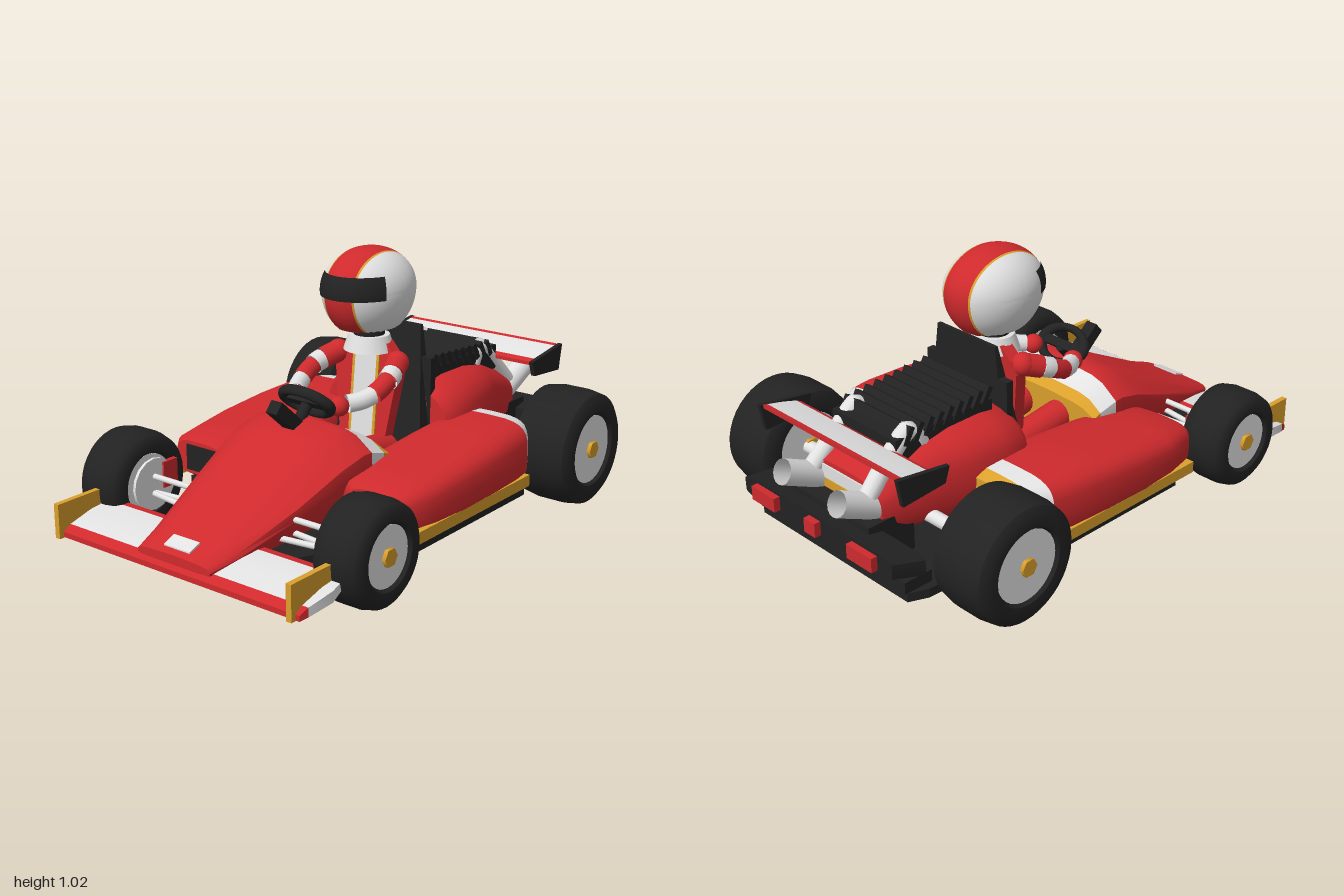
import * as THREE from 'three';
import { toCreasedNormals } from 'three/addons/utils/BufferGeometryUtils.js';

const mat = (name, color, side = THREE.FrontSide) => {
  const m = new THREE.MeshStandardMaterial({ color, side });
  m.name = name;
  return m;
};

export function createModel() {
  const root = new THREE.Group();
  root.name = 'racingKart';
  const red = mat('red', 0xcf2a2d), white = mat('white', 0xe2e2e2, THREE.DoubleSide);
  const gold = mat('gold', 0xdaa02c), black = mat('black', 0x222222);

  const add = (name, geo, material, x = 0, y = 0, z = 0, rx = 0) => {
    const m = new THREE.Mesh(geo, material);
    m.name = name;
    m.position.set(x, y, z);
    m.rotation.x = rx;
    root.add(m);
    return m;
  };
  const box = (name, material, w, h, d, x, y, z, rx = 0) =>
    add(name, new THREE.BoxGeometry(w, h, d), material, x, y, z, rx);
  const v = (p) => new THREE.Vector3(...p);
  const curve = (pts) => new THREE.CatmullRomCurve3(pts.map(v));
  const tube = (name, material, path, r) =>
    add(name, new THREE.TubeGeometry(path, 12, r, 12), material);
  const rod = (name, material, a, b, r, open = false) => {
    const A = v(a), B = v(b), dir = B.clone().sub(A);
    const m = add(name, new THREE.CylinderGeometry(r, r, dir.length(), 16, 1, open), material);
    m.position.copy(A.add(B).multiplyScalar(0.5));
    m.quaternion.setFromUnitVectors(new THREE.Vector3(0, 1, 0), dir.normalize());
  };
  // extrudes a (z, y) outline along x
  const slab = (name, material, outline, width, x) => {
    const s = new THREE.Shape(outline.map((p) => new THREE.Vector2(...p)));
    const g = new THREE.ExtrudeGeometry(s, { depth: width, bevelEnabled: false });
    g.translate(0, 0, -width / 2).rotateY(-Math.PI / 2);
    return add(name, g, material, x);
  };
  // skins rings of [x, y, z] running front to back, counter-clockwise from the front
  const loft = (name, material, rings, crease = 0.7) => {
    const n = rings[0].length, last = (rings.length - 1) * n, idx = [];
    for (let r = 0; r < rings.length - 1; r++) for (let i = 0; i < n; i++) {
      const a = r * n + i, b = r * n + (i + 1) % n;
      idx.push(a, a + n, b, b, a + n, b + n);
    }
    for (let i = 1; i < n - 1; i++) idx.push(0, i, i + 1, last, last + i + 1, last + i);
    const g = new THREE.BufferGeometry();
    g.setAttribute('position', new THREE.Float32BufferAttribute(rings.flat(2), 3));
    g.setIndex(idx);
    return add(name, toCreasedNormals(g, crease), material);
  };
  // rounded-box ring
  const oval = (z, cx, hw, y0, y1, e = 0.55) => Array.from({ length: 28 }, (_, i) => {
    const t = (i / 28) * Math.PI * 2, f = (q) => Math.sign(q) * Math.abs(q) ** e;
    return [cx + hw * f(Math.cos(t)), (y0 + y1) / 2 + ((y1 - y0) / 2) * f(Math.sin(t)), z];
  });
  // faceted nose ring with its corners cut
  const noseRing = ([z, bx, by, mx, my, tx, ty, top]) => {
    const p = [[bx, by], [mx, my], [tx, ty], [0, top], [-tx, ty], [-mx, my], [-bx, by]];
    return p.flatMap((a, i) => {
      const b = p[(i + 1) % p.length];
      return [0.18, 0.82].map((k) => [a[0] + (b[0] - a[0]) * k, a[1] + (b[1] - a[1]) * k, z]);
    });
  };

  // floor
  const half = [[0.2, 0.79], [0.27, 0.73], [0.42, 0.4], [0.54, 0.32], [0.54, -0.38], [0.45, -0.48], [0.43, -0.83], [0.4, -0.9]];
  const outline = [...half, ...half.map(([x, z]) => [-x, z]).reverse()];
  const floorGeo = new THREE.ExtrudeGeometry(new THREE.Shape(outline.map((p) => new THREE.Vector2(...p))), { depth: 0.035, bevelEnabled: false });
  add('floor', floorGeo.rotateX(Math.PI / 2), black, 0, 0.118, 0);
  box('cockpitFloor', black, 0.44, 0.1, 0.4, 0, 0.16, -0.04);

  // nose and the painted cockpit rim
  const nose = [
    [0.965, 0.165, 0.115, 0.17, 0.13, 0.15, 0.145, 0.15],
    [0.85, 0.18, 0.11, 0.2, 0.16, 0.15, 0.19, 0.2],
    [0.6, 0.19, 0.11, 0.26, 0.25, 0.17, 0.31, 0.325],
    [0.4, 0.2, 0.11, 0.295, 0.33, 0.18, 0.41, 0.425],
    [0.29, 0.21, 0.11, 0.31, 0.36, 0.19, 0.45, 0.465],
    [0.25, 0.21, 0.11, 0.31, 0.36, 0.2, 0.44, 0.455],
    [0.17, 0.21, 0.11, 0.3, 0.34, 0.21, 0.4, 0.41],
    [0.135, 0.21, 0.11, 0.3, 0.33, 0.21, 0.37, 0.38],
  ].map(noseRing);
  loft('nose', red, nose.slice(0, 6));
  loft('cowlBand', white, nose.slice(5, 7));
  loft('cowlTrim', gold, nose.slice(6, 8));
  slab('nosePlate', white, [[0.945, 0.163], [0.945, 0.168], [0.895, 0.188], [0.895, 0.18]], 0.12, 0);

  // front wing
  const wing = (z, y, hw, t) => [[hw, y - t, z], [hw, y + t, z], [-hw, y + t, z], [-hw, y - t, z]];
  const fw = [wing(0.98, 0.092, 0.565, 0.01), wing(0.948, 0.105, 0.575, 0.017), wing(0.85, 0.128, 0.595, 0.02),
    wing(0.765, 0.143, 0.575, 0.014), wing(0.735, 0.148, 0.57, 0.007)];
  loft('frontWingLeadingStripe', red, fw.slice(0, 2));
  loft('frontWing', white, fw.slice(1, 4));
  loft('frontWingTrailingStripe', red, fw.slice(3));

  // wheel with rim and hub nut
  const wheel = (name, x, z, R, w, rim) => {
    const h = w / 2, side = [[rim, h - 0.02], [rim + 0.012, h - 0.003], [R - 0.035, h], [R - 0.01, h - 0.018], [R, h * 0.4]];
    const pts = [...side.map(([r, y]) => [r, -y]), ...side.slice().reverse()].map((p) => new THREE.Vector2(...p));
    const parts = [
      ['Tyre', toCreasedNormals(new THREE.LatheGeometry(pts, 40), 0.75), black],
      ['Rim', new THREE.CylinderGeometry(rim + 0.002, rim + 0.002, w - 0.03, 32), white],
      ['Hub', new THREE.CylinderGeometry(0.034, 0.034, w, 6), gold],
    ];
    for (const [part, g, m] of parts) add(name + part, g.rotateZ(Math.PI / 2), m, x, R + 0.005, z);
  };

  for (const s of [1, -1]) {
    wheel('frontWheel', s * 0.55, 0.615, 0.19, 0.2, 0.108);
    wheel('rearWheel', s * 0.575, -0.625, 0.226, 0.25, 0.132);
    box('frontWingEndplate', gold, 0.022, 0.13, 0.215, s * 0.538, 0.145, 0.8925);
    // suspension and brakes
    for (const [y, z] of [[0.225, 0.615], [0.16, 0.58], [0.16, 0.66]])
      rod('frontSuspensionArm', white, [s * 0.15, y, z], [s * 0.47, y, 0.615], 0.011);
    rod('frontBrakeDisc', white, [s * 0.435, 0.195, 0.615], [s * 0.447, 0.195, 0.615], 0.1);
    box('frontBrakeCaliper', red, 0.02, 0.1, 0.07, s * 0.437, 0.22, 0.54);
    rod('rearAxle', white, [s * 0.1, 0.23, -0.635], [s * 0.5, 0.23, -0.635], 0.026);

    // sidepods, striped at the back
    const pod = [[0.4, 0.3, 0.53, 0.17, 0.3], [0.37, 0.25, 0.555, 0.15, 0.315], [0.25, 0.2, 0.575, 0.125, 0.33],
      [0.1, 0.19, 0.585, 0.12, 0.35], [-0.1, 0.19, 0.585, 0.12, 0.368], [-0.28, 0.19, 0.575, 0.12, 0.378],
      [-0.365, 0.19, 0.56, 0.12, 0.378], [-0.435, 0.19, 0.52, 0.13, 0.368], [-0.48, 0.19, 0.46, 0.15, 0.345],
    ].map(([z, a, b, y0, y1]) => oval(z, s * (a + b) / 2, (b - a) / 2, y0, y1));
    loft('sidepod', red, pod.slice(0, 7));
    loft('sidepodBand', white, pod.slice(6, 8));
    loft('sidepodTrim', gold, pod.slice(7));
    box('sidepodInlet', black, 0.15, 0.1, 0.008, s * 0.4, 0.235, 0.402);
    box('sideSkirt', gold, 0.035, 0.045, 0.72, s * 0.563, 0.16, 0.01);

    // rear wing endplates, exhausts and tail lights
    slab('rearWingEndplate', black, [[-0.68, 0.51], [-0.7, 0.45], [-0.885, 0.435], [-0.905, 0.54]], 0.018, s * 0.37);
    tube('exhaustHeader', white, curve([[s * 0.14, 0.48, -0.6], [s * 0.14, 0.545, -0.645], [s * 0.14, 0.47, -0.74], [s * 0.15, 0.35, -0.86]]), 0.035);
    rod('exhaustPipe', white, [s * 0.15, 0.315, -0.82], [s * 0.15, 0.39, -0.98], 0.047, true);
    box('tailLight', red, 0.13, 0.055, 0.03, s * 0.265, 0.235, -0.976);

    // striped sleeves and gloves
    const arm = curve([[s * 0.14, 0.6, -0.1], [s * 0.175, 0.565, 0], [s * 0.165, 0.52, 0.1], [s * 0.1, 0.5, 0.21]]);
    const cuts = [0, 0.22, 0.36, 0.62, 0.9];
    for (let i = 0; i < 4; i++) {
      const pts = [0, 0.5, 1].map((k) => arm.getPoint(cuts[i] + (cuts[i + 1] - cuts[i]) * k).toArray());
      tube('sleeve', i % 2 ? white : red, curve(pts), 0.043 - i * 0.003);
    }
    add('shoulder', new THREE.SphereGeometry(0.045, 16, 12), red, s * 0.14, 0.6, -0.1);
    add('glove', new THREE.SphereGeometry(0.038, 16, 12), red, s * 0.105, 0.5, 0.205);
    rod('leg', red, [s * 0.09, 0.25, -0.1], [s * 0.1, 0.3, 0.2], 0.06);
  }

  // engine cover, engine and fins
  loft('engineCover', red, [[-0.22, 0.29, 0.48], [-0.25, 0.305, 0.5], [-0.35, 0.31, 0.515], [-0.5, 0.29, 0.515],
    [-0.62, 0.25, 0.5], [-0.75, 0.22, 0.445], [-0.83, 0.2, 0.4]].map(([z, w, y], i) => oval(z, 0, w, 0.11 + i * 0.012, y, 0.65)));
  box('rearBand', white, 0.3, 0.05, 0.008, 0, 0.355, -0.832);
  box('rearTrim', gold, 0.24, 0.035, 0.008, 0, 0.31, -0.832);
  box('engine', black, 0.34, 0.1, 0.45, 0, 0.488, -0.51);
  for (let i = 0; i < 9; i++)
    box('engineFin', black, 0.35, 0.07, 0.022, 0, 0.56 - i * 0.003, -0.31 - i * 0.046, 0.5);
  box('gearbox', black, 0.42, 0.17, 0.2, 0, 0.2, -0.8);
  box('diffuser', black, 0.8, 0.045, 0.12, 0, 0.14, -0.85);
  loft('rearBumper', black, [oval(-0.84, 0, 0.43, 0.16, 0.25, 0.3), oval(-0.965, 0, 0.405, 0.19, 0.275, 0.3)]);
  box('centreTailLight', red, 0.06, 0.055, 0.03, 0, 0.235, -0.976);

  // rear wing
  const rw = [wing(-0.73, 0.488, 0.36, 0.007), wing(-0.75, 0.493, 0.36, 0.012), wing(-0.81, 0.505, 0.36, 0.017),
    wing(-0.875, 0.525, 0.36, 0.011), wing(-0.893, 0.533, 0.36, 0.007)];
  loft('rearWingLeadingStripe', red, rw.slice(0, 2));
  loft('rearWing', white, rw.slice(1, 4));
  loft('rearWingTrailingStripe', red, rw.slice(3));

  // seat: a wedge that narrows towards the top
  const seat = slab('seatBack', black, [[-0.14, 0.2], [-0.25, 0.2], [-0.25, 0.72], [-0.235, 0.72]], 0.44, 0);
  const sp = seat.geometry.attributes.position;
  for (let i = 0; i < sp.count; i++) if (sp.getY(i) > 0.6) sp.setX(i, sp.getX(i) * 0.68);
  seat.geometry.computeVertexNormals();
  box('seatShoulders', black, 0.42, 0.28, 0.03, 0, 0.46, -0.235);

  // driver's body
  const t = [[0.1, 0], [0.15, 0.33], [0.13, 0.38], [0.08, 0.43]];
  const body = new THREE.Shape([...t, ...t.map(([x, y]) => [-x, y]).reverse()].map((p) => new THREE.Vector2(...p)));
  add('torso', new THREE.ExtrudeGeometry(body, { depth: 0.05, bevelEnabled: false }), red, 0, 0.24, -0.11, -0.1);
  const stripe = (name, m, w, x) => box(name, m, w, 0.4, 0.006, x, 0.443, -0.077, -0.1);
  stripe('suitStripe', white, 0.1, 0);
  for (const s of [1, -1]) stripe('suitTrim', gold, 0.012, s * 0.056);
  const collar = add('collar', new THREE.CylinderGeometry(0.08, 0.1, 0.06, 24), white, 0, 0.66, -0.11);
  collar.scale.z = 0.95;
  add('neck', new THREE.CylinderGeometry(0.06, 0.06, 0.1, 20), black, 0, 0.7, -0.11);

  // helmet turned about the x axis, in colour bands
  const bands = [[-1, -0.43, white], [-0.43, -0.385, gold], [-0.385, 0.385, red], [0.385, 0.43, gold], [0.43, 1, white]];
  for (const [a, b, m] of bands) {
    const pts = Array.from({ length: 13 }, (_, i) => {
      const q = Math.asin(a) + (Math.asin(b) - Math.asin(a)) * i / 12;
      return new THREE.Vector2(Math.max(Math.cos(q), 0), Math.sin(q));
    });
    const g = new THREE.LatheGeometry(pts, 56).rotateZ(-Math.PI / 2);
    const p = g.attributes.position;
    for (let i = 0; i < p.count; i++) {
      const y = p.getY(i);
      p.setXYZ(i, p.getX(i) * 0.163, y > 0 ? y * 0.155 : Math.max(y * 0.195, -0.148), p.getZ(i) * 0.203);
    }
    g.computeVertexNormals();
    add('helmetShell', toCreasedNormals(g, 0.6), m, 0, 0.87, -0.108);
  }
  const visor = new THREE.SphereGeometry(1, 32, 8, Math.PI / 2 - 1.12, 2.24, 1.1, 0.57);
  add('visor', visor.scale(0.167, 0.157, 0.208), black, 0, 0.87, -0.108);

  // steering wheel and column
  add('steeringWheel', new THREE.TorusGeometry(0.095, 0.021, 12, 32).scale(1.08, 0.75, 1), black, 0, 0.512, 0.26, 0.75);
  box('steeringSpokes', black, 0.19, 0.035, 0.025, 0, 0.512, 0.26, 0.75);
  rod('steeringColumn', black, [0, 0.51, 0.25], [0, 0.4, 0.35], 0.022);
  box('dashStalk', black, 0.05, 0.15, 0.05, 0, 0.485, 0.385, 0.85);
  return root;
}
